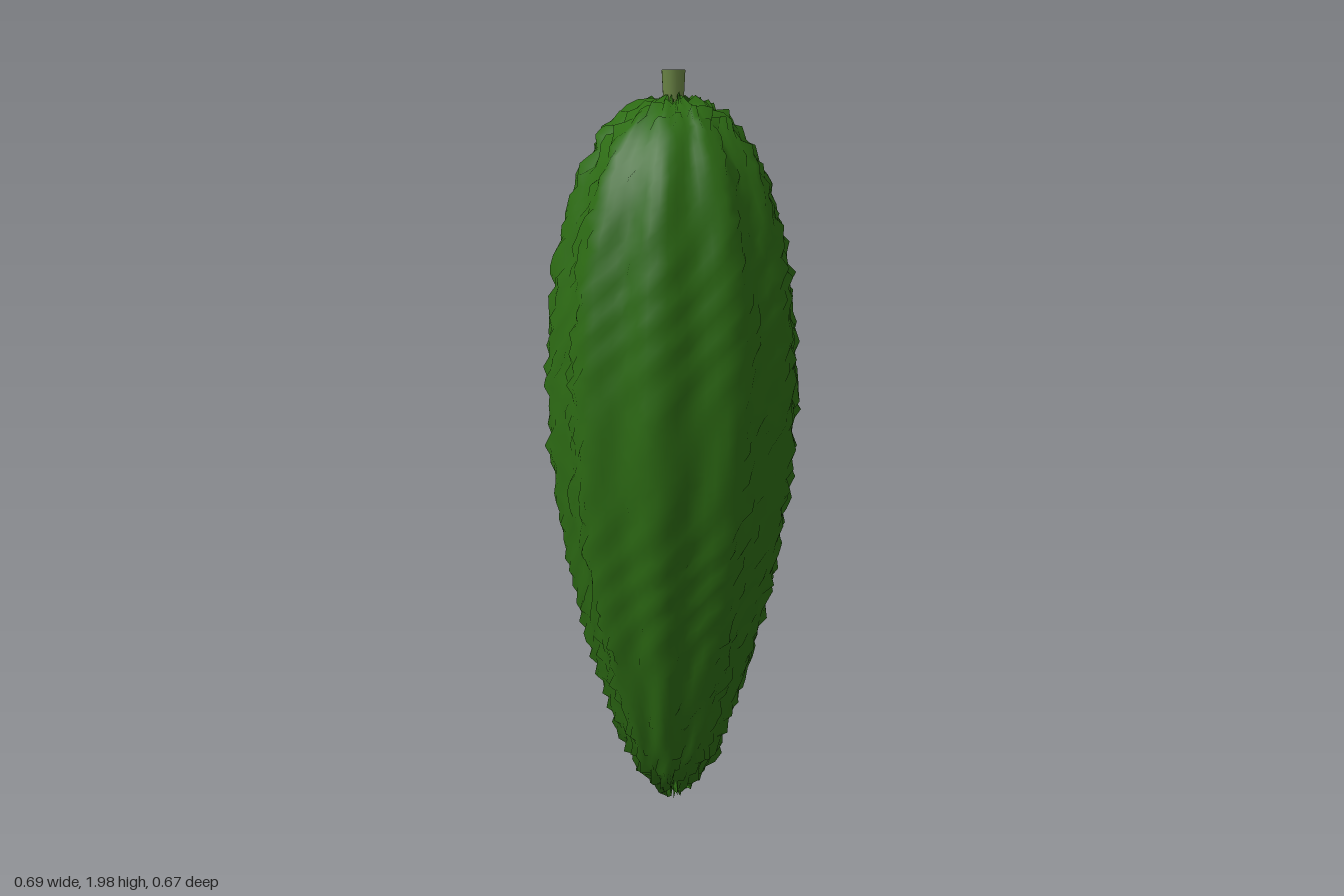
import * as THREE from 'three';

const SIDES = 80, ROWS = 80, RIDGES = 10;

// Seeded random numbers for the warts
function seeded(seed) {
  return () => {
    seed = (seed * 1664525 + 1013904223) >>> 0;
    return seed / 4294967296;
  };
}

// Body outline as (radius, height), from the pointed bottom to the stem
const outline = new THREE.SplineCurve([
  [0.004, 0.045], [0.05, 0.075], [0.095, 0.13], [0.145, 0.24], [0.2, 0.41],
  [0.25, 0.6], [0.288, 0.8], [0.311, 1.0], [0.318, 1.2], [0.308, 1.4],
  [0.275, 1.6], [0.23, 1.74], [0.17, 1.84], [0.1, 1.9], [0.05, 1.915], [0.004, 1.91],
].map(([r, y]) => new THREE.Vector2(r, y)));

function bodyGeometry() {
  const rand = seeded(7);
  const points = outline.getSpacedPoints(ROWS);
  const positions = [], index = [];
  // Rings with lengthwise ridges
  points.forEach(({ x: r, y }) => {
    for (let j = 0; j < SIDES; j++) {
      const a = (j / SIDES) * Math.PI * 2;
      const ridged = r * (1 + 0.04 * Math.cos(RIDGES * a));
      positions.push(ridged * Math.cos(a), y, ridged * Math.sin(a));
    }
  });
  for (let i = 0; i < ROWS; i++) {
    for (let j = 0; j < SIDES; j++) {
      const k = (j + 1) % SIDES;
      const a = i * SIDES + j, b = i * SIDES + k;
      const c = a + SIDES, d = b + SIDES;
      index.push(a, c, b, b, c, d);
    }
  }
  const geometry = new THREE.BufferGeometry();
  geometry.setAttribute('position', new THREE.Float32BufferAttribute(positions, 3));
  geometry.setIndex(index);
  geometry.computeVertexNormals();

  // Push the skin outwards: soft lumps plus occasional sharp warts
  const pos = geometry.attributes.position, nor = geometry.attributes.normal;
  const smooth = nor.clone();
  const p = new THREE.Vector3(), n = new THREE.Vector3();
  const displace = (height) => {
    for (let v = 0; v < pos.count; v++) {
      p.fromBufferAttribute(pos, v);
      n.fromBufferAttribute(smooth, v);
      p.addScaledVector(n, height(p, v));
      pos.setXYZ(v, p.x, p.y, p.z);
    }
  };
  displace((q) => {
    const a = Math.atan2(q.z, q.x);
    return 0.003 * Math.sin(a * 20 + 3 * Math.sin(q.y * 9)) * Math.sin(q.y * 42 + 2 * Math.cos(a * 3));
  });
  geometry.computeVertexNormals();
  displace((q) => {
    const ends = Math.max(0, Math.abs(q.y - 1) - 0.75) * 0.06;
    return (0.022 + ends) * Math.pow(rand(), 4) - 0.002;
  });
  return geometry;
}

export function createModel() {
  const group = new THREE.Group();
  const skin = new THREE.MeshStandardMaterial({ name: 'dark green skin', color: 0x2d6b14, side: THREE.DoubleSide });
  const stalk = new THREE.MeshStandardMaterial({ name: 'pale green stem', color: 0x6b8545 });

  const body = new THREE.Mesh(bodyGeometry(), skin);
  body.name = 'gourdBody';
  group.add(body);

  // Short stem, slightly flared at the cut end
  const stem = new THREE.Mesh(new THREE.CylinderGeometry(0.031, 0.024, 0.13, 12), stalk);
  stem.name = 'stem';
  stem.position.y = 1.935;
  group.add(stem);
  return group;
}
